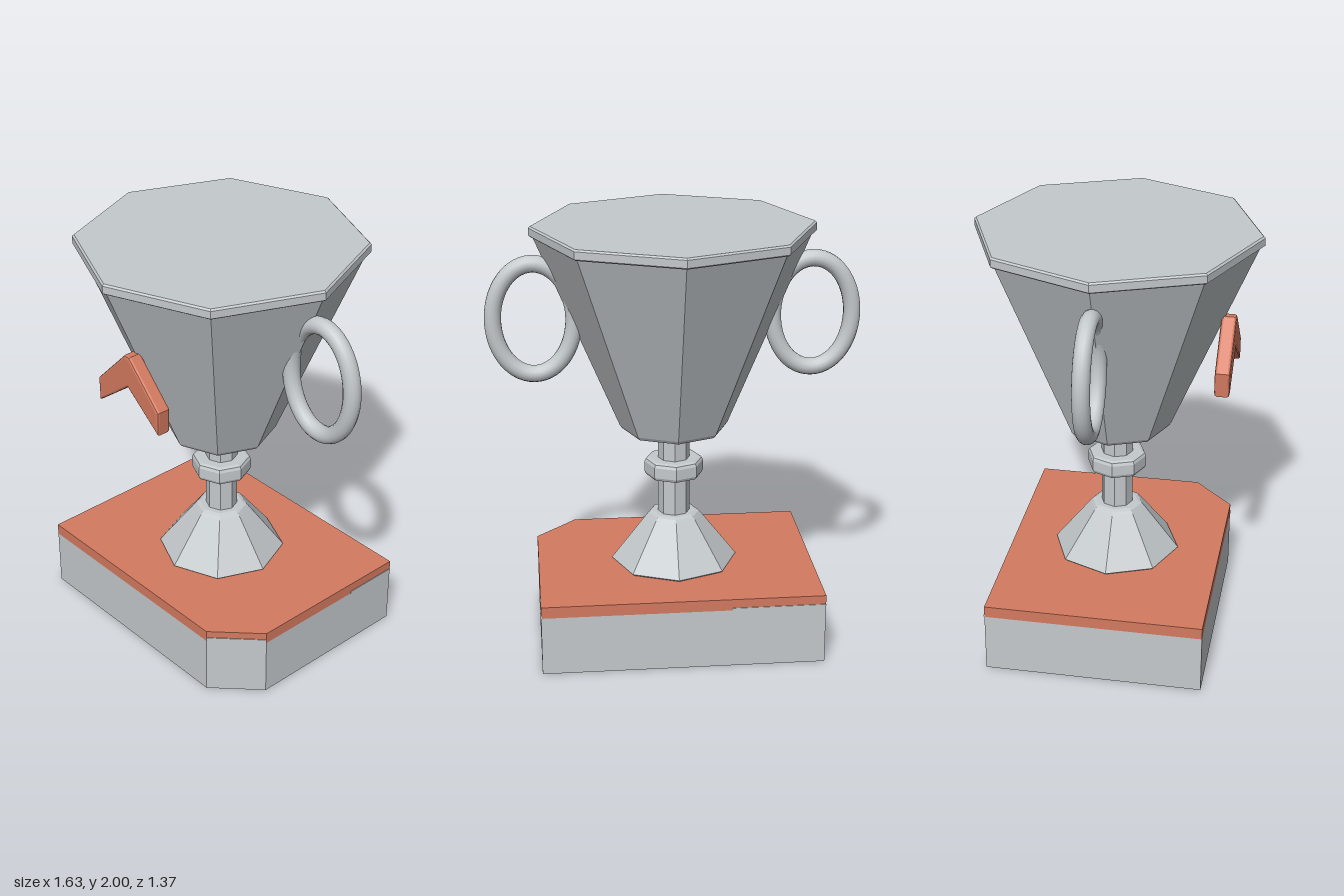
import * as THREE from 'three';

export function createModel() {
  const metal = new THREE.MeshStandardMaterial({ name: 'silverGrey', color: 0xc4c9cc });
  metal.flatShading = true;
  const smoothMetal = new THREE.MeshStandardMaterial({ name: 'silverGreySmooth', color: 0xc4c9cc });
  const orange = new THREE.MeshStandardMaterial({ name: 'terracotta', color: 0xd47a60 });
  orange.flatShading = true;

  const model = new THREE.Group();
  model.name = 'trophy';

  const add = (parent, name, geometry, material) => {
    const mesh = new THREE.Mesh(geometry, material);
    mesh.name = name;
    parent.add(mesh);
    return mesh;
  };

  // Plinth: a turned rectangle with one clipped corner, given as [x, z]
  const outline = [[-0.425, -0.685], [0.803, -0.19], [0.495, 0.572], [0.24, 0.68], [-0.805, 0.26]];
  const slab = (y0, y1) => {
    const shape = new THREE.Shape(outline.map(([x, z]) => new THREE.Vector2(x, -z)));
    return new THREE.ExtrudeGeometry(shape, { depth: y1 - y0, bevelEnabled: false })
      .rotateX(-Math.PI / 2).translate(0, y0, 0);
  };
  add(model, 'plinth', slab(0, 0.285), metal);
  add(model, 'plinthTop', slab(0.285, 0.34), orange);

  // Thin grey strips where the plinth side reaches higher: edge, start, end, height
  for (const [edge, start, end, top] of [[2, 0, 1, 0.305], [1, 0, 0.33, 0.297], [0, 0, 0.33, 0.297]]) {
    const [ax, az] = outline[edge];
    const [bx, bz] = outline[edge + 1];
    const dx = bx - ax, dz = bz - az;
    const mid = (start + end) / 2;
    const strip = add(model, 'plinthSideStrip',
      new THREE.BoxGeometry(Math.hypot(dx, dz) * (end - start), top - 0.285, 0.006), metal);
    strip.position.set(ax + dx * mid, (top + 0.285) / 2, az + dz * mid);
    strip.rotation.y = Math.atan2(-dz, dx);
  }

  // Cup: eight-sided turned parts; profiles give [apothem, y]
  const cup = new THREE.Group();
  cup.name = 'cup';
  cup.position.z = 0.035;
  model.add(cup);
  const turned = (name, profile) => {
    const points = profile.map(([r, y]) => new THREE.Vector2(r / Math.cos(Math.PI / 8), y));
    add(cup, name, new THREE.LatheGeometry(points, 8, Math.PI / 8), metal);
  };
  turned('foot', [[0, 0.341], [0.27, 0.341], [0.28, 0.35], [0.122, 0.57], [0.112, 0.583], [0.095, 0.59], [0, 0.59]]);
  turned('stem', [[0.07, 0.5], [0.07, 1.03]]);
  turned('collar', [[0, 0.775], [0.11, 0.775], [0.124, 0.781], [0.13, 0.795],
    [0.13, 0.845], [0.124, 0.859], [0.11, 0.865], [0, 0.865]]);
  turned('bowl', [[0, 1.01], [0.208, 1.01], [0.226, 1.016], [0.237, 1.032], [0.598, 1.96]]);
  turned('rim', [[0.58, 1.95], [0.602, 1.95], [0.611, 1.957], [0.611, 1.992], [0.603, 2], [0, 2]]);

  // Handles and chevron share the plinth's turn
  const fittings = new THREE.Group();
  fittings.name = 'fittings';
  fittings.rotation.y = -Math.PI / 8;
  cup.add(fittings);

  // Oval ring handles
  class Oval extends THREE.Curve {
    getPoint(t, target = new THREE.Vector3()) {
      const a = t * Math.PI * 2;
      return target.set(0.187 * Math.cos(a), 0.263 * Math.sin(a), 0);
    }
  }
  for (const [name, side] of [['leftHandle', 1], ['rightHandle', -1]]) {
    add(fittings, name, new THREE.TubeGeometry(new Oval(), 64, 0.04, 14, true), smoothMetal)
      .position.set(side * 0.65, 1.563, 0);
  }

  // Chevron badge with softened edges
  const bevel = 0.012;
  const chevron = new THREE.Shape([
    [0.012, 1.597], [-0.012, 1.597], [-0.198, 1.408], [-0.198, 1.312], [0, 1.468], [0.198, 1.312], [0.198, 1.408],
  ].map(([x, y]) => new THREE.Vector2(x, y)));
  add(fittings, 'chevron', new THREE.ExtrudeGeometry(chevron, {
    depth: 0.07 - 2 * bevel, bevelSize: bevel, bevelThickness: bevel, bevelSegments: 2,
  }).translate(0, 0, 0.48 + bevel), orange);

  return model;
}
